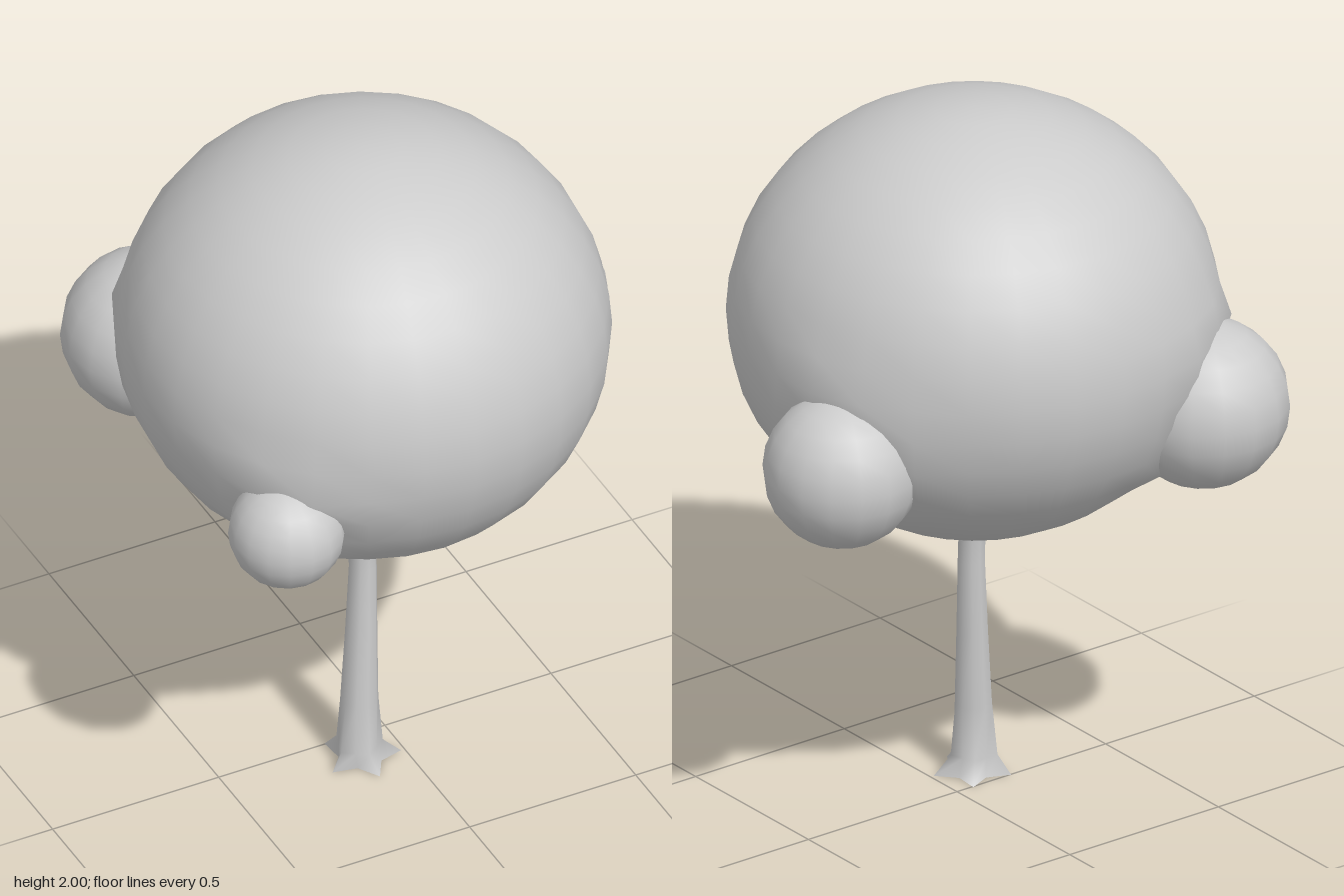
import * as THREE from 'three';
import { mergeVertices } from 'three/addons/utils/BufferGeometryUtils.js';

const material = new THREE.MeshStandardMaterial({ color: 0xcccccc });
const openMaterial = new THREE.MeshStandardMaterial({ color: 0xcccccc, side: THREE.DoubleSide });

// Small leaf clumps: name, centre, radius
const clumps = [
  ['frontRightClump', [-0.53, 1.165, 0.46], 0.158],
  ['leftClump', [0.52, 1.167, -0.175], 0.215],
  ['backRightClump', [-0.48, 1.19, -0.46], 0.235],
];

function addMesh(group, name, geometry, mat = material) {
  const mesh = new THREE.Mesh(geometry, mat);
  mesh.name = name;
  group.add(mesh);
}

// Large ellipsoid that swells softly where it meets each clump
function crownGeometry() {
  const blend = 0.11;
  let geo = new THREE.SphereGeometry(1, 28, 20);
  geo.scale(0.665, 0.605, 0.668);
  geo.translate(-0.073, 1.395, 0.02);
  geo.deleteAttribute('uv');
  const normals = geo.attributes.normal.clone();
  const pos = geo.attributes.position;
  const p = new THREE.Vector3(), n = new THREE.Vector3();
  for (let i = 0; i < pos.count; i++) {
    p.fromBufferAttribute(pos, i);
    n.fromBufferAttribute(normals, i);
    let push = 0;
    for (const [, c, r] of clumps) {
      const d = Math.abs(p.distanceTo(new THREE.Vector3(...c)) - r);
      const h = Math.max(0, 1 - d / blend);
      push += h * h * blend * 0.25;
    }
    p.addScaledVector(n, push);
    pos.setXYZ(i, p.x, p.y, p.z);
  }
  geo.deleteAttribute('normal');
  geo = mergeVertices(geo, 1e-4);
  geo.computeVertexNormals();
  return geo;
}

// Trunk: rings of [y, centre x, centre z, radius, root depth]
function trunkGeometry() {
  const rings = [
    [0, -0.115, 0.085, 0.085, 0.024],
    [0.05, -0.125, 0.09, 0.06, 0.006],
    [0.2, -0.122, 0.088, 0.052, 0],
    [0.42, -0.112, 0.08, 0.044, 0],
    [0.63, -0.103, 0.072, 0.038, 0],
    [0.77, -0.105, 0.07, 0.037, 0],
    [0.83, -0.105, 0.07, 0.055, 0],
  ];
  const sides = 10, position = [], index = [];
  rings.forEach(([y, cx, cz, r, depth], j) => {
    for (let i = 0; i < sides; i++) {
      const a = (i / sides) * Math.PI * 2 + 0.3;
      const radius = r + (i % 2 ? -depth : depth);
      position.push(cx + Math.cos(a) * radius, y, cz + Math.sin(a) * radius);
      if (j === rings.length - 1) continue;
      const k = (i + 1) % sides, b = j * sides, t = b + sides;
      index.push(b + i, t + i, b + k, b + k, t + i, t + k);
    }
  });
  const geo = new THREE.BufferGeometry();
  geo.setAttribute('position', new THREE.Float32BufferAttribute(position, 3));
  geo.setIndex(index);
  geo.computeVertexNormals();
  return geo;
}

export function createModel() {
  const group = new THREE.Group();
  group.name = 'tree';
  addMesh(group, 'crown', crownGeometry());
  for (const [name, c, r] of clumps) {
    addMesh(group, name, new THREE.SphereGeometry(r, 16, 12).translate(...c));
  }
  addMesh(group, 'trunk', trunkGeometry(), openMaterial);
  return group;
}
